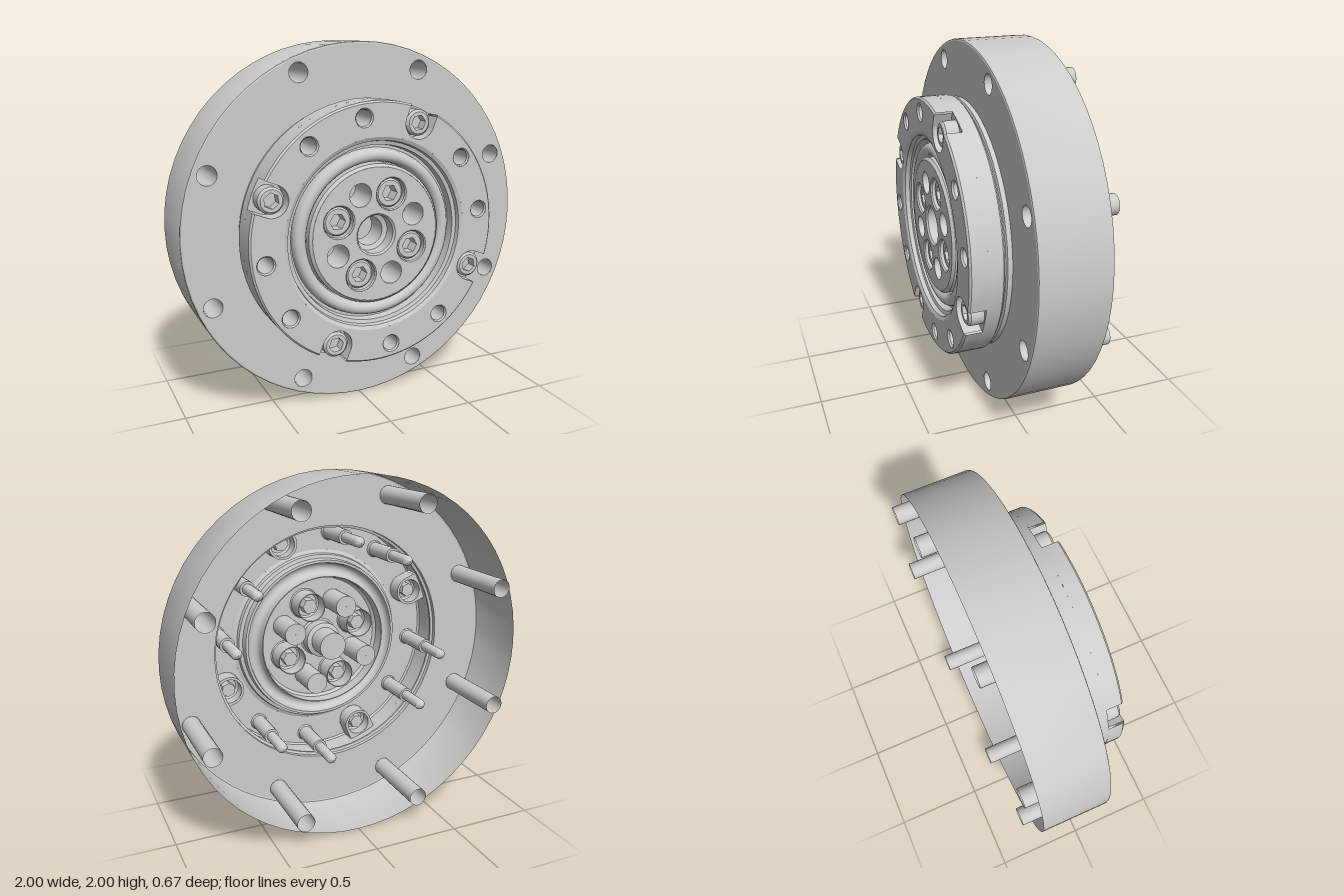
import * as THREE from 'three';
import { toCreasedNormals } from 'three/addons/utils/BufferGeometryUtils.js';

const material = new THREE.MeshStandardMaterial({ color: 0xcccccc, side: THREE.DoubleSide });
const RAD = Math.PI / 180;
const FLANGE_Z = 0.11, RING_Z = 0.335, POCKET_Z = 0.24, DISC_Z = 0.31;
const RIM = 0.71, RIM_FACE = 0.7, BOLT_R = 0.63, POCKET_W = 0.085;
const BOLT_ANGLE = 67.7;

function add(parent, name, geometry) {
  const mesh = new THREE.Mesh(geometry, material);
  mesh.name = name;
  parent.add(mesh);
  return mesh;
}

// Surface turned about the z axis from [radius, z] pairs; start angle is measured from +x
function turned(profile, segments = 64, start = 0, sweep = 360) {
  const points = profile.map(([r, z]) => new THREE.Vector2(r, z));
  const g = new THREE.LatheGeometry(points, segments, (start + 90) * RAD, sweep * RAD);
  return toCreasedNormals(g.rotateX(Math.PI / 2), 0.6);
}

const polar = (r, deg) => [r * Math.cos(deg * RAD), r * Math.sin(deg * RAD)];

function circle(Type, x, y, r) {
  const path = new Type();
  path.absarc(x, y, r, 0, Math.PI * 2, false);
  return path;
}

function hexagon(r) {
  const pts = [];
  for (let i = 0; i < 6; i++) pts.push(new THREE.Vector2(...polar(r, i * 60)));
  return new THREE.Path(pts);
}

const flat = (shape, z, segments = 24) => new THREE.ShapeGeometry(shape, segments).translate(0, 0, z);

// Socket-head screw: front face at z = 0, hollow behind
function socketBolt(r, depth, hexR, chamfer) {
  const bolt = new THREE.Group();
  const face = r - chamfer;
  add(bolt, 'boltHead', turned([[r, -depth], [r, -chamfer], [face, 0]], 24));
  const shape = circle(THREE.Shape, 0, 0, face);
  shape.holes.push(hexagon(hexR));
  add(bolt, 'boltFace', flat(shape, 0, 12));
  const socketDepth = depth * 0.7;
  const walls = new THREE.CylinderGeometry(hexR, hexR, socketDepth, 6, 1, true)
    .rotateX(Math.PI / 2).rotateZ(Math.PI / 2).translate(0, 0, -socketDepth / 2);
  add(bolt, 'hexSocket', toCreasedNormals(walls, 0.5));
  add(bolt, 'socketFloor', new THREE.CircleGeometry(hexR, 6).translate(0, 0, -socketDepth));
  return bolt;
}

// Outer drum, open at the back, with eight through tubes
function buildFlange() {
  const flange = new THREE.Group();
  flange.name = 'flange';
  add(flange, 'outerWall', turned([[1, -0.27], [1, 0.1], [0.997, 0.107], [0.99, FLANGE_Z]]));
  const face = circle(THREE.Shape, 0, 0, 0.99);
  face.holes.push(circle(THREE.Path, 0, 0, 0.695));
  for (let i = 0; i < 8; i++) {
    const [x, y] = polar(0.915, 22.5 + i * 45);
    face.holes.push(circle(THREE.Path, x, y, 0.052));
    add(flange, 'mountingTube', turned([[0.052, -RING_Z], [0.052, FLANGE_Z]], 24)).position.set(x, y, 0);
  }
  add(flange, 'flangeFace', flat(face, FLANGE_Z, 32));
  return flange;
}

// Raised ring with four open-sided bolt pockets and eight stepped blind holes
function buildRing() {
  const ring = new THREE.Group();
  ring.name = 'raisedRing';
  add(ring, 'ringBase', turned([[0.695, FLANGE_Z], [0.695, 0.135], [0.68, 0.14], [0.68, 0.152],
    [0.7, 0.152], [RIM, 0.162], [RIM, POCKET_Z]]));

  const half = Math.asin(POCKET_W / RIM) / RAD;
  const halfFace = Math.asin(POCKET_W / RIM_FACE) / RAD;
  const outline = new THREE.Shape();
  for (let i = 0; i < 4; i++) {
    const angle = BOLT_ANGLE + i * 90, a = angle * RAD;
    const [cx, cy] = polar(BOLT_R, angle);

    // Rim segment between this pocket and the next
    add(ring, 'rimSegment', turned([[RIM, POCKET_Z], [RIM, RING_Z - 0.01], [RIM_FACE, RING_Z]],
      16, angle + half, 90 - 2 * half));

    // Face outline: into the pocket, around its inner end, and on along the rim
    outline.absarc(cx, cy, POCKET_W, a - Math.PI / 2, a - Math.PI * 1.5, true);
    outline.absarc(0, 0, RIM_FACE, (angle + halfFace) * RAD, (angle + 90 - halfFace) * RAD, false);

    // Pocket in its own frame, with +x pointing outwards
    const pocket = new THREE.Group();
    pocket.name = 'boltPocket';
    pocket.rotation.z = a;
    const floor = new THREE.Shape();
    floor.absarc(BOLT_R, 0, POCKET_W, -Math.PI / 2, -Math.PI * 1.5, true);
    floor.absarc(0, 0, RIM, half * RAD, -half * RAD, true);
    floor.holes.push(circle(THREE.Path, BOLT_R, 0, 0.07));
    add(pocket, 'pocketFloor', flat(floor, POCKET_Z));
    const depth = RING_Z - POCKET_Z;
    add(pocket, 'pocketEnd', turned([[POCKET_W, POCKET_Z], [POCKET_W, RING_Z]], 16, 90, 180)).position.x = BOLT_R;
    const length = Math.sqrt(RIM_FACE ** 2 - POCKET_W ** 2) - BOLT_R;
    for (const side of [-1, 1]) {
      const wall = new THREE.PlaneGeometry(length, depth).rotateX(side * Math.PI / 2);
      add(pocket, 'pocketSide', wall)
        .position.set(BOLT_R + length / 2, side * POCKET_W, POCKET_Z + depth / 2);
    }
    const bolt = socketBolt(0.07, 0.08, 0.042, 0.012);
    bolt.name = 'ringBolt';
    bolt.position.set(BOLT_R, 0, POCKET_Z + 0.08);
    pocket.add(bolt);
    ring.add(pocket);

    // Two stepped blind holes between neighbouring pockets
    for (const step of [30, 60]) {
      const [x, y] = polar(BOLT_R, angle + step);
      outline.holes.push(circle(THREE.Path, x, y, 0.05));
      add(ring, 'blindHole', turned([[0.001, -0.1], [0.02, -0.09], [0.03, -0.075], [0.03, 0.1],
        [0.043, 0.1], [0.043, 0.325], [0.05, RING_Z]], 20)).position.set(x, y, 0);
    }
  }
  outline.closePath();
  outline.holes.push(circle(THREE.Path, 0, 0, 0.525));
  add(ring, 'ringFace', flat(outline, RING_Z));
  return ring;
}

// Rounded seal in the groove between ring and centre disc
function buildSeal() {
  const profile = [[0.525, RING_Z], [0.505, 0.325], [0.5, 0.3], [0.48, 0.295], [0.475, 0.25], [0.46, 0.25]];
  for (let i = 0; i <= 8; i++) {
    const [x, z] = polar(0.035, i * 22.5);
    profile.push([0.422 + x, 0.265 + z]);
  }
  profile.push([0.385, 0.22], [0.38, 0.22], [0.38, 0.295], [0.365, DISC_Z]);
  const mesh = new THREE.Mesh(turned(profile), material);
  mesh.name = 'sealGroove';
  return mesh;
}

// Centre disc with four bolts, four plain blind holes and a stepped bore
function buildDisc() {
  const disc = new THREE.Group();
  disc.name = 'centreDisc';
  const face = circle(THREE.Shape, 0, 0, 0.365);
  for (let i = 0; i < 4; i++) {
    const [bx, by] = polar(0.232, BOLT_ANGLE + i * 90);
    face.holes.push(circle(THREE.Path, bx, by, 0.09));
    add(disc, 'boltRecess', turned([[0.079, 0.19], [0.084, 0.19], [0.084, 0.302], [0.09, DISC_Z]], 24))
      .position.set(bx, by, 0);
    const bolt = socketBolt(0.079, 0.1, 0.045, 0.01);
    bolt.name = 'discBolt';
    bolt.position.set(bx, by, 0.29);
    disc.add(bolt);

    const [hx, hy] = polar(0.24, BOLT_ANGLE + 45 + i * 90);
    face.holes.push(circle(THREE.Path, hx, hy, 0.063));
    add(disc, 'plainHole', turned([[0.001, 0.11], [0.063, 0.11], [0.063, DISC_Z]], 24)).position.set(hx, hy, 0);
  }
  face.holes.push(circle(THREE.Path, 0, 0, 0.115));
  add(disc, 'centreBore', turned([[0.001, 0.09], [0.08, 0.09], [0.08, 0.22], [0.105, 0.23],
    [0.105, 0.3], [0.115, DISC_Z]], 32));
  add(disc, 'discFace', flat(face, DISC_Z));
  return disc;
}

export function createModel() {
  const model = new THREE.Group();
  model.name = 'flangedHub';
  const hub = new THREE.Group();
  hub.name = 'hub';
  hub.position.y = 1;
  hub.add(buildFlange(), buildRing(), buildSeal(), buildDisc());
  model.add(hub);
  return model;
}
